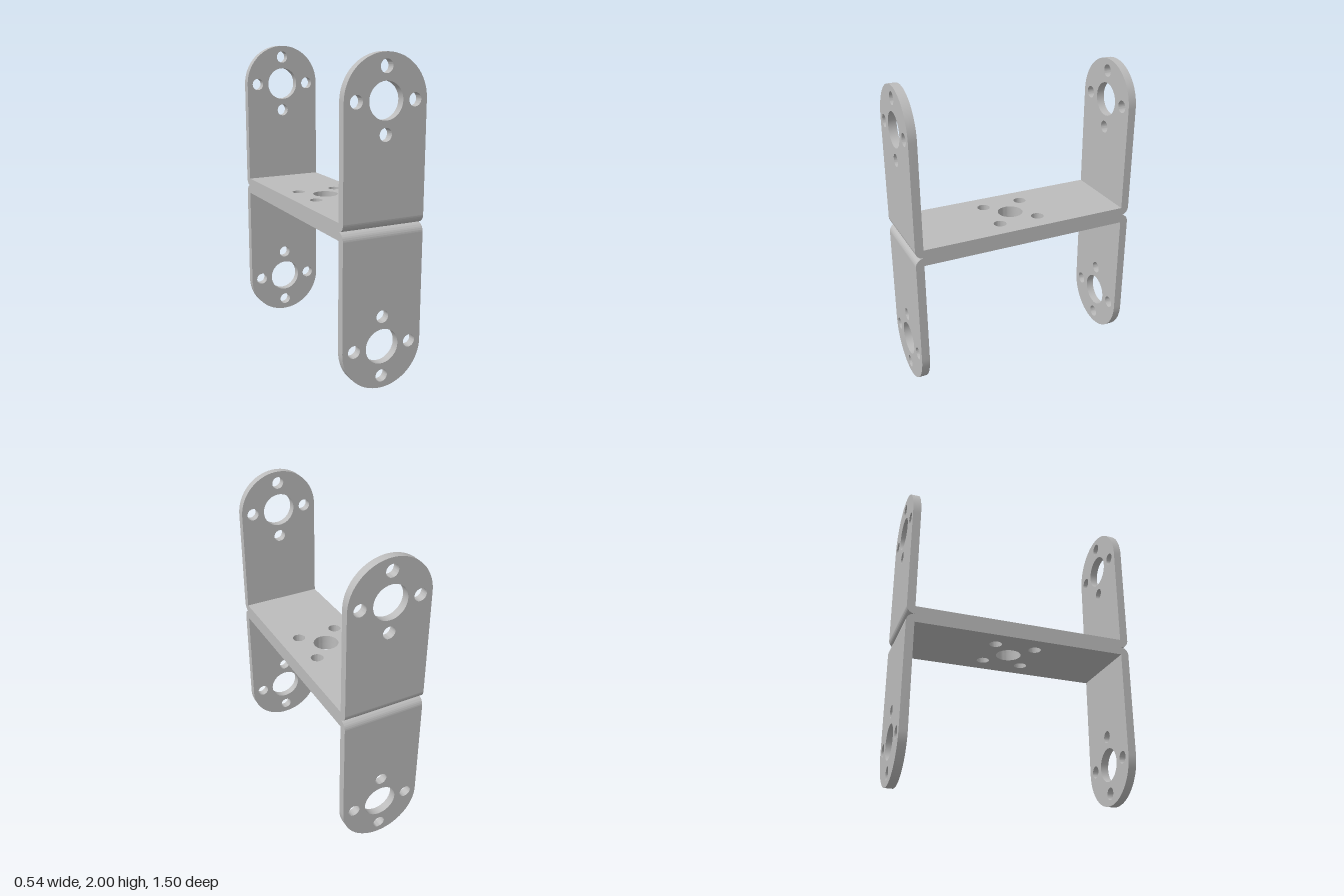
import * as THREE from 'three';
import { toCreasedNormals } from 'three/addons/utils/BufferGeometryUtils.js';

const W = 0.268;          // half width, also the radius of the rounded arm ends
const T = 0.053;          // sheet thickness
const Z = 0.75 - T;       // inner face of the arms
const HOLE_Y = 2 - W;     // centre of the arm hole pattern

const steel = new THREE.MeshStandardMaterial({ color: 0xbcbcbc });
steel.name = 'steel grey';

function addHole(shape, x, y, r) {
  const hole = new THREE.Path();
  hole.absarc(x, y, r, 0, Math.PI * 2, true);
  shape.holes.push(hole);
}

function extrude(shape, depth) {
  return new THREE.ExtrudeGeometry(shape, { depth, bevelEnabled: false, curveSegments: 28 });
}

function part(name, geometry) {
  const mesh = new THREE.Mesh(toCreasedNormals(geometry, 0.6), steel);
  mesh.name = name;
  return mesh;
}

// Upright arm with a round end, one large hole and a cross of four small ones
function armGeometry() {
  const s = new THREE.Shape();
  s.moveTo(-W, 1 + T);
  s.lineTo(W, 1 + T);
  s.absarc(0, HOLE_Y, W, 0, Math.PI, false);
  s.closePath();
  addHole(s, 0, HOLE_Y, 0.11);
  for (const [dx, dy] of [[1, 0], [-1, 0], [0, 1], [0, -1]]) {
    addHole(s, dx * 0.19, HOLE_Y + dy * 0.19, 0.04);
  }
  return extrude(s, T).translate(0, 0, Z);
}

// Quarter-round outer bend joining arm and web
function bendGeometry() {
  const s = new THREE.Shape();
  s.moveTo(0, 0);
  s.lineTo(0, -T);
  s.absarc(0, 0, T, -Math.PI / 2, 0, false);
  s.closePath();
  return extrude(s, 2 * W).translate(0, 0, -W).rotateY(-Math.PI / 2).translate(0, 1 + T, Z);
}

// Flat web with a centre hole and four holes on the diagonals
function webGeometry() {
  const s = new THREE.Shape();
  s.moveTo(-W, -Z);
  s.lineTo(W, -Z);
  s.lineTo(W, Z);
  s.lineTo(-W, Z);
  s.closePath();
  addHole(s, 0, 0, 0.082);
  for (const sx of [-1, 1]) for (const sz of [-1, 1]) addHole(s, sx * 0.134, sz * 0.134, 0.041);
  return extrude(s, T).rotateX(-Math.PI / 2).translate(0, 1, 0);
}

function bracket(name) {
  const g = new THREE.Group();
  g.name = name;
  g.add(part('web', webGeometry()));
  for (const side of ['front', 'back']) {
    const arm = part(side + 'Arm', armGeometry());
    const bend = part(side + 'Bend', bendGeometry());
    if (side === 'back') arm.rotation.y = bend.rotation.y = Math.PI;
    g.add(arm, bend);
  }
  return g;
}

export function createModel() {
  const model = new THREE.Group();
  model.name = 'doubleBracket';
  // Two U-shaped brackets placed back to back
  const lower = bracket('lowerBracket');
  lower.rotation.z = Math.PI;
  lower.position.y = 2;
  model.add(bracket('upperBracket'), lower);
  return model;
}
